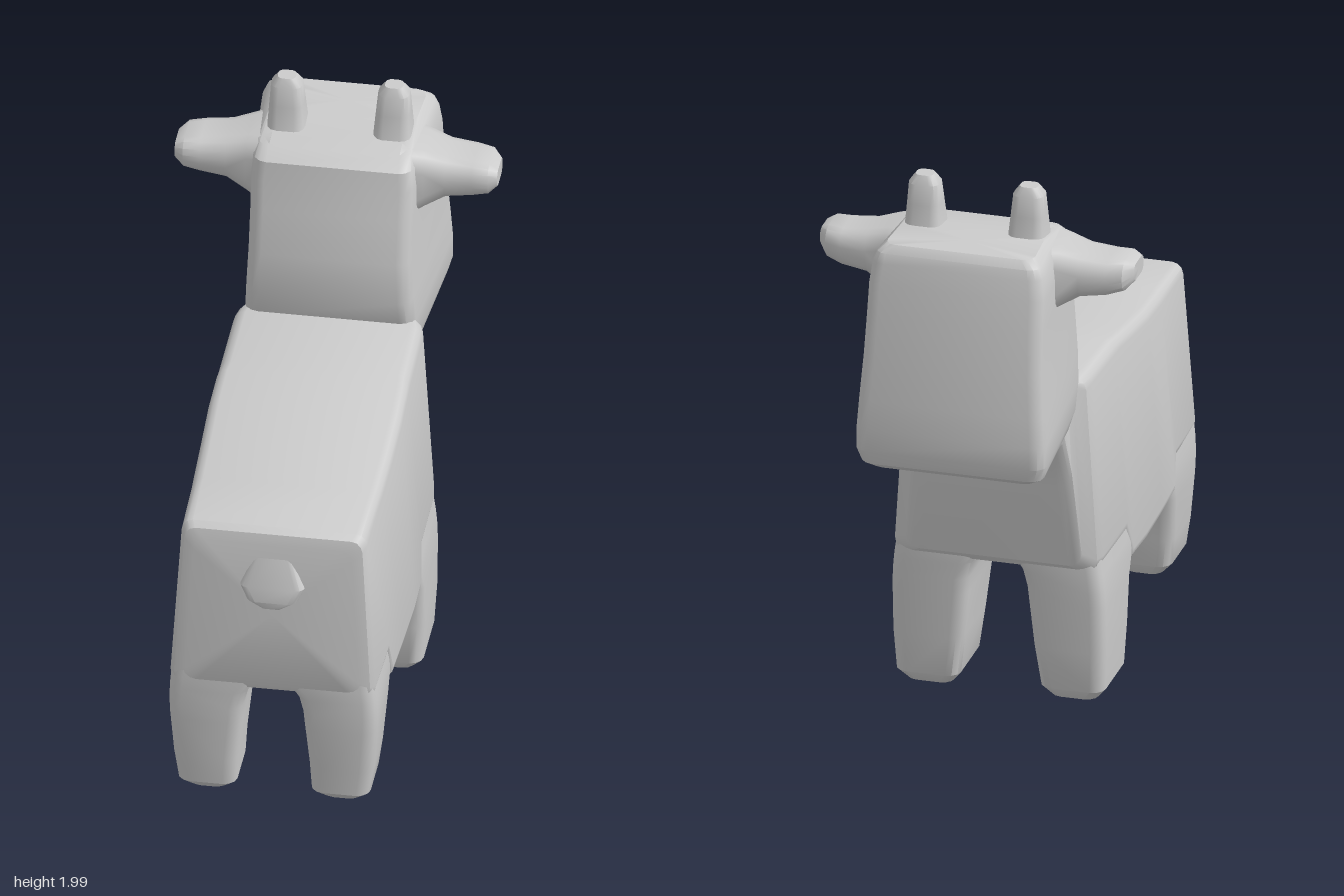
import * as THREE from 'three';
import { toCreasedNormals } from 'three/addons/utils/BufferGeometryUtils.js';

const material = new THREE.MeshStandardMaterial({ color: 0xcccccc });

// Maps (a, b, t) to x, y, z so that every loft stays right-handed.
const toXYZ = {
  x: (a, b, t) => [t, a, b], // a = y, b = z
  y: (a, b, t) => [b, t, a], // a = z, b = x
  z: (a, b, t) => [a, b, t], // a = x, b = y
};

// Skin through rounded rectangles; row = [t, a0, a1, b0, b1, radius], t ascending.
function loft(axis, rows, warp) {
  const pos = [], index = [], steps = 3, n = 4 * (steps + 1);
  const put = (a, b, t) => {
    const p = toXYZ[axis](a, b, t);
    if (warp) warp(p);
    pos.push(...p);
  };
  for (const [t, a0, a1, b0, b1, r] of rows) {
    for (let c = 0; c < 4; c++) {
      const ca = c === 0 || c === 3 ? a1 - r : a0 + r;
      const cb = c < 2 ? b1 - r : b0 + r;
      for (let s = 0; s <= steps; s++) {
        const ang = (c + s / steps) * Math.PI / 2;
        put(ca + r * Math.cos(ang), cb + r * Math.sin(ang), t);
      }
    }
  }
  for (let i = 0; i < rows.length - 1; i++) {
    for (let j = 0; j < n; j++) {
      const p = i * n + j, q = i * n + (j + 1) % n;
      index.push(p, q, q + n, p, q + n, p + n);
    }
  }
  // end caps
  [0, rows.length - 1].forEach((k, end) => {
    const [t, a0, a1, b0, b1] = rows[k];
    const centre = pos.length / 3;
    put((a0 + a1) / 2, (b0 + b1) / 2, t);
    for (let j = 0; j < n; j++) {
      const p = k * n + j, q = k * n + (j + 1) % n;
      if (end) index.push(centre, p, q);
      else index.push(centre, q, p);
    }
  });
  const g = new THREE.BufferGeometry();
  g.setAttribute('position', new THREE.Float32BufferAttribute(pos, 3));
  g.setIndex(index);
  return g;
}

// Reflects a geometry in x and restores its winding.
function mirrored(g) {
  const m = g.clone().scale(-1, 1, 1);
  const ix = m.index.array;
  for (let i = 0; i < ix.length; i += 3) [ix[i], ix[i + 1]] = [ix[i + 1], ix[i]];
  return m;
}

export function createModel() {
  const model = new THREE.Group();
  const add = (name, g) => {
    const mesh = new THREE.Mesh(toCreasedNormals(g, 0.62), material);
    mesh.name = name;
    model.add(mesh);
  };
  const addPair = (name, g) => {
    add('left' + name, g);
    add('right' + name, mirrored(g));
  };

  // Torso, chest and neck: sections from front to rear, narrowing upward
  const torso = [
    [-0.56, 0.24, 1.08, 1.42, 0.06],
    [-0.46, 0.28, 1.03, 1.36, 0.07],
    [-0.41, 0.29, 0.96, 1.28, 0.07],
    [-0.375, 0.3, 0.82, 1.245, 0.06],
    [-0.36, 0.315, 0.53, 1.225, 0.05],
    [-0.33, 0.36, 0.5, 1.215, 0.05],
    [-0.28, 0.368, 0.5, 1.217, 0.045],
    [0.0, 0.37, 0.5, 1.205, 0.045],
    [0.05, 0.372, 0.39, 1.2, 0.04],
    [0.2, 0.374, 0.385, 1.18, 0.04],
    [0.4, 0.368, 0.385, 1.15, 0.04],
    [0.58, 0.362, 0.39, 1.135, 0.04],
    [0.62, 0.36, 0.5, 1.133, 0.04],
    [0.87, 0.355, 0.5, 1.125, 0.04],
    [0.895, 0.34, 0.51, 1.11, 0.04],
    [0.905, 0.3, 0.53, 1.075, 0.04],
  ].map(([z, w, y0, y1, r]) => [z, -w, w, y0, y1, r]);
  add('torso', loft('z', torso, (p) => {
    p[0] *= 1 - 0.17 * (p[1] - 0.4);
    p[2] -= Math.max(0, p[2]) * 0.06 * (p[1] - 0.5);
  }));

  // Legs: rows are height, z range, x range
  addPair('FrontLeg', loft('y', [
    [0.01, -0.28, -0.03, 0.17, 0.33, 0.04],
    [0.05, -0.31, 0.0, 0.14, 0.362, 0.045],
    [0.2, -0.325, 0.01, 0.12, 0.37, 0.045],
    [0.36, -0.335, 0.035, 0.105, 0.37, 0.045],
    [0.42, -0.34, 0.07, 0.1, 0.368, 0.045],
    [0.48, -0.342, 0.08, 0.085, 0.362, 0.045],
    [0.53, -0.342, 0.08, 0.05, 0.355, 0.045],
    [0.75, -0.335, 0.06, 0.05, 0.335, 0.045],
  ]));
  addPair('RearLeg', loft('y', [
    [0.06, 0.65, 0.84, 0.16, 0.29, 0.04],
    [0.1, 0.625, 0.88, 0.125, 0.325, 0.045],
    [0.2, 0.615, 0.89, 0.12, 0.338, 0.045],
    [0.36, 0.585, 0.9, 0.105, 0.35, 0.045],
    [0.42, 0.56, 0.903, 0.1, 0.352, 0.045],
    [0.48, 0.55, 0.903, 0.085, 0.35, 0.045],
    [0.53, 0.55, 0.903, 0.05, 0.345, 0.045],
    [0.75, 0.56, 0.88, 0.05, 0.325, 0.045],
  ]));

  // Head: rows are height, z range, half width; flares toward the muzzle
  const head = [
    [1.045, -0.86, -0.45, 0.27, 0.04],
    [1.07, -0.895, -0.4, 0.3, 0.05],
    [1.12, -0.91, -0.34, 0.313, 0.05],
    [1.2, -0.91, -0.29, 0.313, 0.05],
    [1.3, -0.9, -0.275, 0.308, 0.05],
    [1.45, -0.88, -0.285, 0.3, 0.05],
    [1.6, -0.855, -0.325, 0.297, 0.05],
    [1.7, -0.835, -0.345, 0.297, 0.05],
    [1.77, -0.82, -0.36, 0.29, 0.05],
    [1.805, -0.81, -0.41, 0.275, 0.04],
    [1.83, -0.785, -0.58, 0.25, 0.04],
  ].map(([y, z0, z1, w, r]) => [y, z0, z1, -w, w, r]);
  add('head', loft('y', head, (p) => {
    p[0] *= 1 + 0.25 * (-0.65 - p[2]);
  }));

  // Ears: rows are x, y range, z range
  addPair('Ear', loft('x', [
    [0.22, 1.54, 1.815, -0.68, -0.39, 0.06],
    [0.3, 1.59, 1.8, -0.65, -0.41, 0.06],
    [0.37, 1.63, 1.78, -0.635, -0.42, 0.06],
    [0.46, 1.645, 1.77, -0.625, -0.425, 0.05],
    [0.515, 1.66, 1.768, -0.605, -0.425, 0.045],
    [0.545, 1.69, 1.75, -0.56, -0.445, 0.025],
  ]));

  // Horns
  addPair('Horn', loft('y', [
    [1.76, -0.635, -0.465, 0.1, 0.255, 0.04],
    [1.82, -0.62, -0.485, 0.115, 0.243, 0.035],
    [1.9, -0.605, -0.5, 0.122, 0.238, 0.03],
    [1.97, -0.597, -0.51, 0.128, 0.234, 0.03],
    [2.0, -0.58, -0.525, 0.15, 0.212, 0.02],
  ]));

  // Tail: small flap swelling out of the rump
  add('tail', loft('y', [
    [0.845, 0.86, 0.915, -0.035, 0.035, 0.015],
    [0.87, 0.85, 0.918, -0.085, 0.085, 0.03],
    [0.92, 0.84, 0.908, -0.11, 0.11, 0.03],
    [1.05, 0.82, 0.868, -0.06, 0.06, 0.02],
  ]));

  return model;
}
